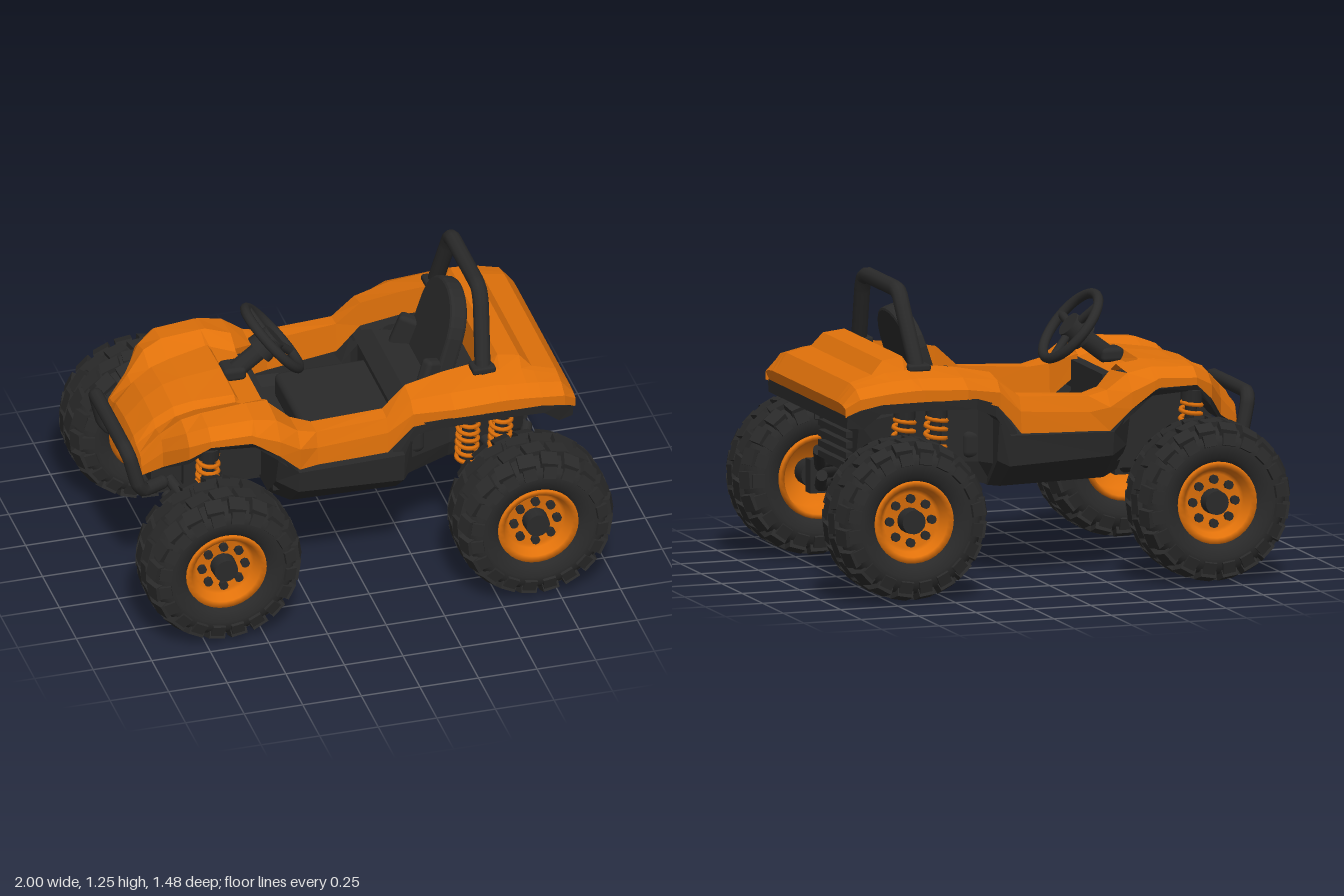
import * as THREE from 'three';
import { mergeGeometries } from 'three/addons/utils/BufferGeometryUtils.js';
import { RoundedBoxGeometry } from 'three/addons/geometries/RoundedBoxGeometry.js';

const paint = new THREE.MeshStandardMaterial({ color: 0xe0710a, side: THREE.DoubleSide });
paint.name = 'orange paint';
const plastic = new THREE.MeshStandardMaterial({ color: 0x2a2a2a, side: THREE.DoubleSide });
plastic.name = 'dark plastic';

const V = (x, y, z) => new THREE.Vector3(x, y, z);

function add(parent, name, geo, mat, x = 0, y = 0, z = 0) {
  const m = new THREE.Mesh(geo, mat);
  m.name = name;
  m.position.set(x, y, z);
  parent.add(m);
  return m;
}

// Faceted skin through stations [x, y0, z0, y1, z1, ...], built on both sides
function skin(parent, name, stations, mat) {
  const pos = [];
  const n = (stations[0].length - 1) / 2;
  for (const s of [1, -1]) {
    const P = (i, j) => [stations[i][0], stations[i][1 + 2 * j], s * stations[i][2 + 2 * j]];
    for (let i = 0; i < stations.length - 1; i++) for (let j = 0; j < n - 1; j++) {
      const a = P(i, j), b = P(i + 1, j), c = P(i + 1, j + 1), d = P(i, j + 1);
      // wind so that the outer faces point up and outward
      if (s > 0) pos.push(...a, ...d, ...b, ...b, ...d, ...c);
      else pos.push(...a, ...b, ...d, ...b, ...c, ...d);
    }
  }
  const g = new THREE.BufferGeometry();
  g.setAttribute('position', new THREE.Float32BufferAttribute(pos, 3));
  g.computeVertexNormals();
  add(parent, name, g, mat);
}

function rod(parent, name, a, b, r) {
  const d = b.clone().sub(a);
  const m = add(parent, name, new THREE.CylinderGeometry(r, r, d.length(), 10), plastic);
  m.position.copy(a).addScaledVector(d, 0.5);
  m.quaternion.setFromUnitVectors(V(0, 1, 0), d.normalize());
}

function bentTube(parent, name, pts, r) {
  const curve = new THREE.CatmullRomCurve3(pts, false, 'catmullrom', 0.15);
  add(parent, name, new THREE.TubeGeometry(curve, 60, r, 10), plastic);
  for (const p of [pts[0], pts[pts.length - 1]])
    add(parent, name + 'End', new THREE.SphereGeometry(r, 10, 8), plastic, p.x, p.y, p.z);
}

// Damper with a coil spring and a dark top mount
function shock(parent, a, b) {
  const pts = [], d = b.clone().sub(a), turns = 6;
  rod(parent, 'damper', a, b, 0.024);
  rod(parent, 'springMount', a.clone().addScaledVector(d, 0.84), b, 0.045);
  for (let i = 0; i <= turns * 10; i++) {
    const t = i / (turns * 10), w = i * Math.PI / 5;
    pts.push(a.clone().addScaledVector(d, 0.2 + t * 0.64).add(V(Math.cos(w) * 0.043, 0, Math.sin(w) * 0.043)));
  }
  add(parent, 'spring', new THREE.TubeGeometry(new THREE.CatmullRomCurve3(pts), 110, 0.01, 5), paint);
}

// Tread block leaning by tilt at radius r, turned to angle around the wheel
function block(w, h, d, r, angle, z, yaw, tilt) {
  return new THREE.BoxGeometry(w, h, d).rotateY(yaw).rotateX(tilt).translate(0, r, z).rotateZ(angle);
}

const lathe = (pts, seg) =>
  new THREE.LatheGeometry(pts.map(p => new THREE.Vector2(...p)), seg).rotateX(Math.PI / 2);

// Wheel with its outer face toward +z
function makeWheel() {
  const w = new THREE.Group();
  add(w, 'tyre', lathe([[0.17, -0.115], [0.19, -0.136], [0.23, -0.147], [0.265, -0.144], [0.295, -0.117], [0.312, -0.06],
    [0.314, 0], [0.312, 0.06], [0.295, 0.117], [0.265, 0.144], [0.23, 0.147], [0.19, 0.136], [0.17, 0.115]], 40), plastic);
  const lugs = [], n = 20, step = Math.PI * 2 / n;
  for (let i = 0; i < n; i++) for (const s of [1, -1]) {
    const a = (i + (s > 0 ? 0 : 0.5)) * step;
    lugs.push(block(0.084, 0.03, 0.066, 0.316, a, s * 0.037, s * 0.15, s * 0.05));
    lugs.push(block(0.07, 0.04, 0.066, 0.3, a + step / 2, s * 0.103, -s * 0.1, s * 0.35));
    lugs.push(block(0.054, 0.05, 0.02, 0.267, a + step / 2, s * 0.141, 0, -s * 0.3));
  }
  add(w, 'treadBlocks', mergeGeometries(lugs), plastic);
  add(w, 'rim', lathe([[0.04, 0.06], [0.115, 0.07], [0.13, 0.075], [0.146, 0.12], [0.17, 0.127], [0.175, 0.1],
    [0.175, -0.1], [0.174, -0.14], [0.155, -0.14], [0.14, -0.02], [0.05, 0.02]], 32), paint);
  add(w, 'hub', new THREE.CylinderGeometry(0.05, 0.06, 0.2, 16).rotateX(Math.PI / 2), plastic, 0, 0, 0.02);
  for (let i = 0; i < 8; i++) {
    const a = i * Math.PI / 4;
    add(w, 'wheelBolt', new THREE.CylinderGeometry(0.019, 0.019, 0.03, 8).rotateX(Math.PI / 2), plastic,
      Math.cos(a) * 0.092, Math.sin(a) * 0.092, 0.07);
  }
  return w;
}

export function createModel() {
  const car = new THREE.Group();
  car.name = 'buggy';

  // Hood with raised centre panel and front fenders
  skin(car, 'hood', [
    [-0.935, 0.6, 0, 0.6, 0.13, 0.59, 0.14, 0.58, 0.15, 0.58, 0.16, 0.57, 0.17, 0.56, 0.17],
    [-0.9, 0.71, 0, 0.7, 0.13, 0.68, 0.17, 0.67, 0.22, 0.66, 0.24, 0.62, 0.25, 0.58, 0.25],
    [-0.82, 0.79, 0, 0.78, 0.15, 0.75, 0.18, 0.76, 0.24, 0.75, 0.27, 0.7, 0.29, 0.63, 0.29],
    [-0.74, 0.84, 0, 0.83, 0.16, 0.8, 0.19, 0.84, 0.28, 0.82, 0.36, 0.78, 0.405, 0.72, 0.405],
    [-0.66, 0.86, 0, 0.85, 0.17, 0.825, 0.2, 0.87, 0.3, 0.86, 0.4, 0.82, 0.45, 0.79, 0.45],
    [-0.49, 0.88, 0, 0.87, 0.2, 0.845, 0.22, 0.885, 0.3, 0.87, 0.41, 0.83, 0.465, 0.79, 0.465],
    [-0.47, 0.84, 0, 0.84, 0.2, 0.84, 0.23, 0.885, 0.3, 0.87, 0.41, 0.82, 0.468, 0.78, 0.468],
    [-0.37, 0.82, 0, 0.82, 0.19, 0.84, 0.22, 0.865, 0.27, 0.85, 0.41, 0.78, 0.47, 0.71, 0.47]], paint);

  // Cockpit sides rising into the rear fenders
  skin(car, 'bodySide', [
    [-0.37, 0.75, 0.19, 0.83, 0.2, 0.85, 0.41, 0.78, 0.47, 0.71, 0.47],
    [-0.28, 0.64, 0.28, 0.78, 0.29, 0.785, 0.41, 0.72, 0.455, 0.62, 0.45],
    [-0.2, 0.63, 0.315, 0.765, 0.325, 0.765, 0.41, 0.7, 0.43, 0.62, 0.435],
    [0.1, 0.66, 0.33, 0.785, 0.34, 0.78, 0.41, 0.72, 0.43, 0.63, 0.435],
    [0.2, 0.765, 0.33, 0.875, 0.33, 0.855, 0.42, 0.81, 0.46, 0.75, 0.46],
    [0.36, 0.795, 0.32, 0.905, 0.32, 0.88, 0.45, 0.84, 0.52, 0.8, 0.52],
    [0.55, 0.8, 0.31, 0.925, 0.31, 0.89, 0.46, 0.85, 0.525, 0.8, 0.525]], paint);

  // Rear deck with raised panel
  skin(car, 'rearDeck', [
    [0.55, 0.8, 0, 0.8, 0.31, 0.925, 0.31, 0.89, 0.46, 0.85, 0.525, 0.8, 0.525],
    [0.56, 0.93, 0, 0.93, 0.33, 0.915, 0.36, 0.89, 0.46, 0.85, 0.525, 0.8, 0.525],
    [0.59, 0.967, 0, 0.967, 0.35, 0.912, 0.38, 0.89, 0.47, 0.85, 0.525, 0.8, 0.525],
    [0.68, 0.955, 0, 0.955, 0.36, 0.908, 0.39, 0.885, 0.47, 0.845, 0.525, 0.8, 0.525],
    [0.73, 0.9, 0, 0.9, 0.37, 0.895, 0.4, 0.88, 0.47, 0.84, 0.525, 0.8, 0.525],
    [0.83, 0.875, 0, 0.875, 0.38, 0.87, 0.41, 0.86, 0.46, 0.825, 0.515, 0.78, 0.515],
    [0.885, 0.8, 0, 0.8, 0.37, 0.8, 0.4, 0.795, 0.45, 0.785, 0.485, 0.75, 0.485],
    [0.87, 0.745, 0, 0.745, 0.37, 0.745, 0.4, 0.745, 0.44, 0.745, 0.475, 0.745, 0.48]], paint);

  // Dark arch trims and liners
  skin(car, 'rearTrim', [
    [0.12, 0.64, 0.438, 0.58, 0.438, 0.6, 0.33],
    [0.22, 0.765, 0.465, 0.71, 0.46, 0.71, 0.33],
    [0.32, 0.8, 0.515, 0.755, 0.51, 0.755, 0.32],
    [0.56, 0.802, 0.527, 0.765, 0.52, 0.765, 0.31],
    [0.57, 0.802, 0.527, 0.765, 0.52, 0.765, 0],
    [0.74, 0.8, 0.527, 0.76, 0.52, 0.76, 0],
    [0.81, 0.785, 0.521, 0.7, 0.5, 0.7, 0],
    [0.875, 0.752, 0.486, 0.7, 0.475, 0.7, 0],
    [0.876, 0.752, 0, 0.7, 0, 0.7, 0]], plastic);
  skin(car, 'frontLiner', [
    [-0.925, 0.57, 0.16, 0.56, 0.15, 0.56, 0],
    [-0.82, 0.64, 0.285, 0.61, 0.27, 0.62, 0],
    [-0.74, 0.72, 0.4, 0.69, 0.39, 0.72, 0],
    [-0.66, 0.79, 0.445, 0.765, 0.43, 0.77, 0],
    [-0.47, 0.785, 0.462, 0.755, 0.44, 0.77, 0],
    [-0.38, 0.715, 0.466, 0.69, 0.46, 0.69, 0.25],
    [-0.29, 0.625, 0.452, 0.6, 0.45, 0.6, 0.25]], plastic);

  // Lower tub with sills, capped at both ends
  skin(car, 'tub', [
    [-0.37, 0.72, 0, 0.72, 0, 0.55, 0, 0.43, 0, 0.43, 0],
    [-0.37, 0.72, 0.42, 0.7, 0.45, 0.55, 0.4, 0.43, 0.28, 0.43, 0],
    [-0.29, 0.62, 0.42, 0.62, 0.475, 0.52, 0.46, 0.41, 0.34, 0.41, 0],
    [0.16, 0.63, 0.42, 0.63, 0.475, 0.5, 0.46, 0.4, 0.34, 0.4, 0],
    [0.2, 0.7, 0.33, 0.7, 0.45, 0.52, 0.42, 0.4, 0.3, 0.4, 0],
    [0.2, 0.7, 0, 0.7, 0, 0.52, 0, 0.4, 0, 0.4, 0]], plastic);
  add(car, 'floor', new THREE.BoxGeometry(0.56, 0.04, 0.72), plastic, -0.09, 0.5, 0);
  add(car, 'frontChassis', new THREE.BoxGeometry(0.34, 0.34, 0.36), plastic, -0.53, 0.62, 0);
  add(car, 'frontMount', new THREE.BoxGeometry(0.14, 0.22, 0.3), plastic, -0.76, 0.57, 0);
  add(car, 'frontSkid', new THREE.BoxGeometry(0.44, 0.05, 0.26), plastic, -0.58, 0.43, 0);

  // Tapered tub behind the seat with the rear grille
  skin(car, 'rearChassis', [
    [0.18, 0.7, 0, 0.7, 0.4, 0.5, 0.4, 0.4, 0.3, 0.4, 0],
    [0.24, 0.76, 0, 0.76, 0.3, 0.5, 0.3, 0.41, 0.27, 0.41, 0],
    [0.42, 0.76, 0, 0.76, 0.23, 0.5, 0.23, 0.42, 0.2, 0.42, 0],
    [0.6, 0.7, 0, 0.7, 0.24, 0.5, 0.22, 0.38, 0.16, 0.38, 0],
    [0.74, 0.68, 0, 0.68, 0.25, 0.5, 0.2, 0.45, 0.17, 0.45, 0],
    [0.74, 0.68, 0, 0.68, 0, 0.5, 0, 0.45, 0, 0.45, 0]], plastic);
  for (let i = 0; i < 5; i++)
    add(car, 'grilleSlat', new THREE.BoxGeometry(0.04, 0.026, 0.34), plastic, 0.75, 0.49 + i * 0.043, 0);

  // Seat
  const back = new THREE.Shape();
  back.moveTo(-0.2, 0);
  back.lineTo(-0.18, 0.46);
  back.bezierCurveTo(-0.16, 0.66, 0.16, 0.66, 0.18, 0.46);
  back.lineTo(0.2, 0);
  const backGeo = new THREE.ExtrudeGeometry(back, { depth: 0.045, bevelSize: 0.012, bevelThickness: 0.015, bevelSegments: 2 });
  const seatBack = add(car, 'seatBack', backGeo.rotateY(Math.PI / 2), plastic, 0.3, 0.53, 0);
  seatBack.rotation.z = -0.3;
  add(car, 'seatCushion', new RoundedBoxGeometry(0.48, 0.12, 0.6, 2, 0.03), plastic, 0.06, 0.57, 0);
  for (const s of [1, -1]) {
    const b = add(car, 'seatBolster', new RoundedBoxGeometry(0.12, 0.34, 0.06, 2, 0.02), plastic, 0.33, 0.71, s * 0.19);
    b.rotation.set(0, s * 0.4, -0.35);
  }

  // Dash, steering column and wheel
  add(car, 'dash', new THREE.BoxGeometry(0.04, 0.22, 0.38), plastic, -0.36, 0.7, 0);
  add(car, 'columnBase', new RoundedBoxGeometry(0.1, 0.06, 0.1, 2, 0.02), plastic, -0.44, 0.86, 0);
  rod(car, 'steeringColumn', V(-0.43, 0.855, 0), V(-0.28, 0.97, 0), 0.04);
  const steering = new THREE.Group();
  steering.name = 'steeringWheel';
  steering.position.set(-0.27, 0.985, 0);
  steering.quaternion.setFromUnitVectors(V(0, 0, 1), V(0.77, 0.64, 0).normalize());
  add(steering, 'steeringRim', new THREE.TorusGeometry(0.165, 0.021, 10, 36), plastic);
  add(steering, 'steeringHub', new THREE.CylinderGeometry(0.055, 0.065, 0.09, 16).rotateX(Math.PI / 2), plastic, 0, 0, -0.03);
  for (const k of [0, 1, 2]) {
    const a = k * Math.PI * 2 / 3 + Math.PI / 2;
    rod(steering, 'steeringSpoke', V(0, 0, -0.01), V(Math.cos(a) * 0.16, Math.sin(a) * 0.16, 0), 0.018);
  }
  car.add(steering);

  // Roll bar with feet, and front bumper
  bentTube(car, 'rollBar', [V(0.525, 0.89, 0.36), V(0.53, 0.95, 0.335), V(0.55, 1.15, 0.245), V(0.552, 1.2, 0.215),
    V(0.552, 1.216, 0.17), V(0.552, 1.216, -0.17), V(0.552, 1.2, -0.215), V(0.55, 1.15, -0.245),
    V(0.53, 0.95, -0.335), V(0.525, 0.89, -0.36)], 0.034);
  for (const s of [1, -1])
    add(car, 'rollBarFoot', new RoundedBoxGeometry(0.1, 0.03, 0.08, 1, 0.01), plastic, 0.525, 0.918, s * 0.35);
  const half = [[-0.8, 0.5, 0.2], [-0.89, 0.51, 0.25], [-0.92, 0.55, 0.265], [-0.95, 0.67, 0.25], [-0.962, 0.705, 0.2]];
  bentTube(car, 'frontBumper', [...half.map(p => V(...p)), ...half.map(([x, y, z]) => V(x, y, -z)).reverse()], 0.03);

  // Wheels and suspension
  for (const x of [-0.663, 0.663]) for (const s of [1, -1]) {
    const wheel = makeWheel();
    wheel.name = x < 0 ? 'frontWheel' : 'rearWheel';
    wheel.position.set(x, 0.337, s * (x < 0 ? 0.567 : 0.583));
    if (s < 0) wheel.rotation.y = Math.PI;
    car.add(wheel);
    rod(car, 'axle', V(x, 0.42, s * 0.12), V(x, 0.337, s * 0.52), 0.022);
    add(car, 'knuckle', new THREE.BoxGeometry(0.1, 0.14, 0.06), plastic, x, 0.345, s * 0.45);
    for (const d of [-0.1, 0.1]) {
      rod(car, 'lowerArm', V(x + d, 0.4, s * 0.14), V(x, 0.3, s * 0.44), 0.024);
      rod(car, 'upperArm', V(x + d, 0.5, s * 0.18), V(x, 0.38, s * 0.44), 0.024);
    }
    const springs = x < 0 ? [-0.655] : [0.455, 0.595];
    for (const sx of springs) shock(car, V(sx, 0.42, s * 0.35), V(sx, 0.77, s * 0.4));
  }
  return car;
}
